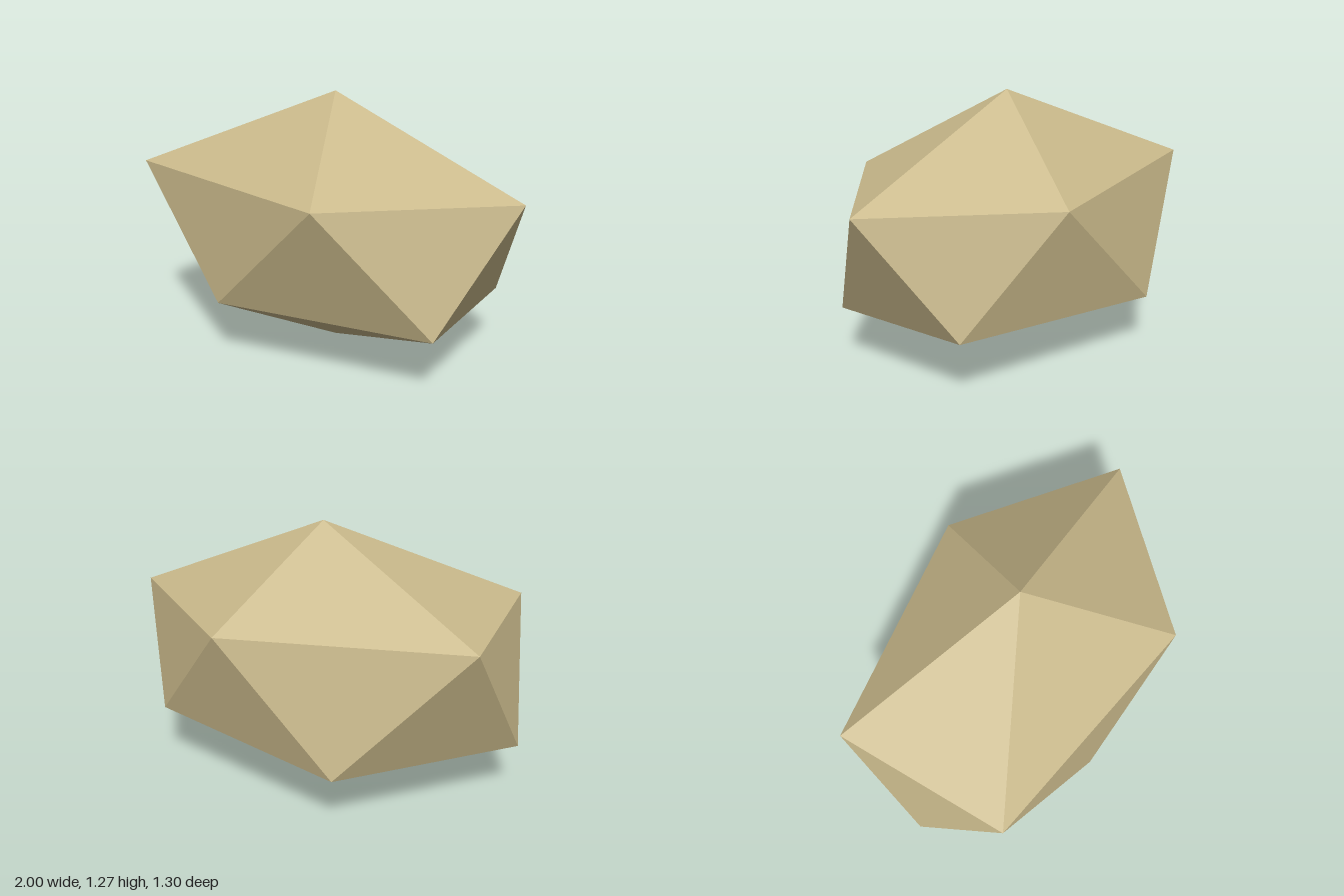
import * as THREE from 'three';

export function createModel() {
  const group = new THREE.Group();
  group.name = 'rock';
  const sandstone = new THREE.MeshStandardMaterial({ color: 0xc8b88a, flatShading: true });
  sandstone.name = 'sandstone';

  // A rough twenty-sided stone: two poles and two irregular five-point rings
  const top = [0, 1.27, -0.01];
  const bottom = [0, 0, -0.01];
  const upper = [[1, 0.86, -0.01], [0.33, 0.87, 0.65], [-0.88, 0.89, 0.42], [-0.88, 0.88, -0.44], [0.29, 0.84, -0.6]];
  const lower = [[0.77, 0.29, 0.36], [-0.28, 0.3, 0.57], [-1, 0.275, -0.01], [-0.31, 0.27, -0.65], [0.73, 0.305, -0.36]];

  // Cap, zigzag band and base, one fifth at a time
  const positions = [];
  const face = (...corners) => corners.forEach((c) => positions.push(...c));
  for (let i = 0; i < 5; i++) {
    const j = (i + 1) % 5;
    face(top, upper[j], upper[i]);
    face(upper[i], upper[j], lower[i]);
    face(upper[j], lower[j], lower[i]);
    face(bottom, lower[i], lower[j]);
  }
  const geometry = new THREE.BufferGeometry();
  geometry.setAttribute('position', new THREE.Float32BufferAttribute(positions, 3));
  geometry.computeVertexNormals();

  const stone = new THREE.Mesh(geometry, sandstone);
  stone.name = 'stone';
  group.add(stone);
  return group;
}
